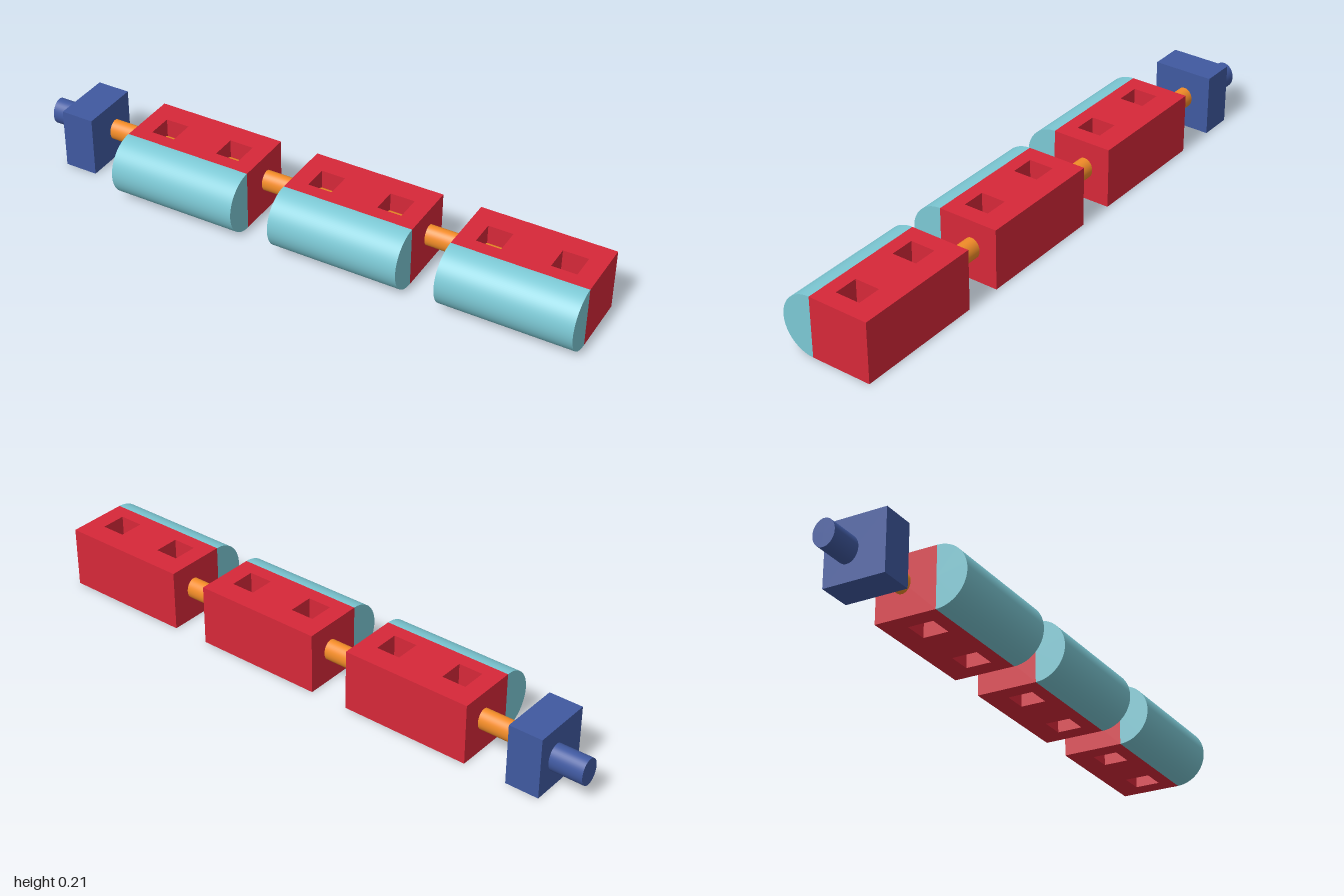
import * as THREE from 'three';

const mat = (color) => new THREE.MeshStandardMaterial({ color });
const RED = mat(0xd62839), TEAL = mat(0x7cc8d4), ORANGE = mat(0xf28c28), BLUE = mat(0x4059a0);

const H = 0.21;                     // height of every block
const BACK = -0.158, FRONT = 0.053; // z faces of the square blocks
const LEN = 0.452;                  // block length

function add(parent, name, geometry, material) {
  const mesh = new THREE.Mesh(geometry, material);
  mesh.name = name;
  parent.add(mesh);
  return mesh;
}

// Oval bar along x, from x0 to x1
function bar(parent, name, x0, x1, y, z, ry, rz, material) {
  const g = new THREE.CylinderGeometry(1, 1, x1 - x0, 48).rotateZ(Math.PI / 2);
  g.scale(1, ry, rz);
  add(parent, name, g, material).position.set((x0 + x1) / 2, y, z);
}

// Square block with two vertical square through-holes
function blockGeometry() {
  const rect = (C, x0, x1, z0, z1) => new C([[x0, -z1], [x1, -z1], [x1, -z0], [x0, -z0]]
    .map(([x, y]) => new THREE.Vector2(x, y)));
  const shape = rect(THREE.Shape, -LEN / 2, LEN / 2, BACK, FRONT);
  for (const c of [-0.123, 0.123]) {
    shape.holes.push(rect(THREE.Path, c - 0.042, c + 0.042, -0.081, 0.006));
  }
  return new THREE.ExtrudeGeometry(shape, { depth: H, bevelEnabled: false }).rotateX(-Math.PI / 2);
}

export function createModel() {
  const model = new THREE.Group();
  model.name = 'segmentedChain';

  const block = blockGeometry();
  const round = new THREE.CylinderGeometry(H / 2, H / 2, LEN, 64, 1, false, -Math.PI / 2, Math.PI)
    .rotateZ(Math.PI / 2);

  // Three segments, each a drilled block with a rounded front
  [-0.395, 0.192, 0.774].forEach((x, i) => {
    const segment = new THREE.Group();
    segment.name = `segment${i + 1}`;
    segment.position.x = x;
    add(segment, 'drilledBlock', block, RED);
    add(segment, 'roundedFront', round, TEAL).position.set(0, H / 2, FRONT);
    model.add(segment);
  });

  // Connecting rods, each reaching past the nearest holes
  [[-0.762, -0.45], [-0.33, 0.145], [0.26, 0.72]].forEach(([x0, x1], i) =>
    bar(model, `connectingRod${i + 1}`, x0, x1, 0.114, -0.066, 0.036, 0.03, ORANGE));

  // End piece with its stub
  add(model, 'endBlock', new THREE.BoxGeometry(0.116, H, FRONT - BACK), BLUE)
    .position.set(-0.827, H / 2, (FRONT + BACK) / 2);
  bar(model, 'endStub', -1, -0.88, 0.105, -0.078, 0.046, 0.038, BLUE);

  return model;
}
